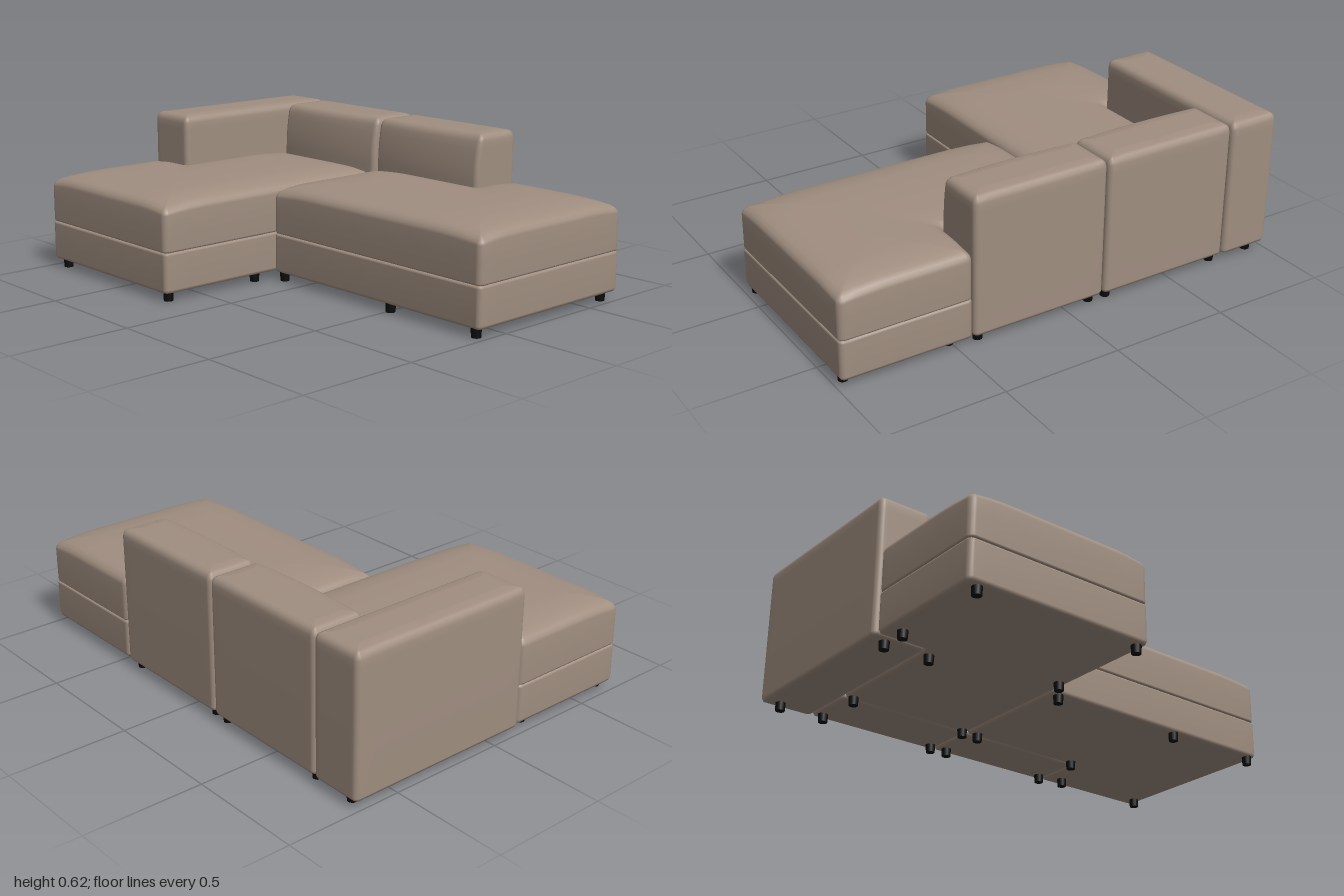
import * as THREE from 'three';

const fabric = new THREE.MeshStandardMaterial({ color: 0xa08e80 });
fabric.name = 'taupe upholstery';
const black = new THREE.MeshStandardMaterial({ color: 0x0c0c0c });
black.name = 'black feet';

// Right-angled outline [x, z], counterclockwise from above, inset by d with rounded corners
function ring(corners, d, radius) {
  const n = corners.length;
  const dir = (a, b) => new THREE.Vector2(b[0] - a[0], b[1] - a[1]).normalize();
  const arcs = corners.map((p, i) => {
    const a = dir(corners[(i + n - 1) % n], p);
    const b = dir(p, corners[(i + 1) % n]);
    const convex = a.y * b.x - a.x * b.y > 0;
    const r = convex ? Math.max(radius - d, 0.003) : radius;
    const x = p[0] + d * (a.y + b.y) + r * (b.x - a.x);
    const z = p[1] - d * (a.x + b.x) + r * (b.y - a.y);
    const pts = [];
    for (let k = 0; k <= 5; k++) {
      const t = (k / 5) * Math.PI / 2, s = Math.sin(t), c = Math.cos(t);
      pts.push(new THREE.Vector2(x + r * (a.x * s - b.x * c), z + r * (a.y * s - b.y * c)));
    }
    return pts;
  });
  // Subdivide the straight runs between corners
  return arcs.flatMap((arc, i) => {
    const next = arcs[(i + 1) % n][0], last = arc[arc.length - 1];
    const run = [];
    for (let k = 1; k < 12; k++) run.push(last.clone().lerp(next, k / 12));
    return [...arc, ...run];
  });
}

// Closed padded block: stacked rings [inset, height], bent by an optional rule
function pad(name, corners, profile, radius, bend) {
  const rings = profile.map(([d]) => ring(corners, d, radius));
  const m = rings[0].length, position = [], index = [];
  rings.forEach((pts, i) => pts.forEach((p) => {
    const v = new THREE.Vector3(p.x, profile[i][1], p.y);
    if (bend) bend(v);
    position.push(v.x, v.y, v.z);
  }));
  for (let i = 0; i < rings.length - 1; i++) {
    for (let j = 0; j < m; j++) {
      const a = i * m + j, b = i * m + (j + 1) % m;
      index.push(a, b, b + m, a, b + m, a + m);
    }
  }
  const cap = (pts) => THREE.ShapeUtils.triangulateShape(pts.map((p) => new THREE.Vector2(p.x, -p.y)), []);
  const top = (rings.length - 1) * m;
  cap(rings[0]).forEach(([a, b, c]) => index.push(a, c, b));
  cap(rings[rings.length - 1]).forEach(([a, b, c]) => index.push(top + a, top + b, top + c));
  const geometry = new THREE.BufferGeometry();
  geometry.setAttribute('position', new THREE.Float32BufferAttribute(position, 3));
  geometry.setIndex(index);
  geometry.computeVertexNormals();
  const mesh = new THREE.Mesh(geometry, fabric);
  mesh.name = name;
  return mesh;
}

const rect = (x0, x1, z0, z1) => [[x0, z1], [x1, z1], [x1, z0], [x0, z0]];

const baseProfile = [[0.02, 0.034], [0.006, 0.037], [0, 0.05], [0, 0.19], [0.003, 0.197], [0.012, 0.2]];
const cushionProfile = [
  [0.012, 0.2], [0.003, 0.203], [0, 0.21], [0, 0.3], [0, 0.375], [0.004, 0.39], [0.013, 0.402],
  [0.03, 0.41], [0.06, 0.414], [0.1, 0.417], [0.15, 0.419], [0.25, 0.42],
];
const blockProfile = [
  [0.02, 0.034], [0.006, 0.037], [0, 0.05], [0, 0.42], [0, 0.47], [0, 0.52], [0, 0.56], [0, 0.59],
  [0.004, 0.605], [0.012, 0.615], [0.025, 0.621], [0.06, 0.624],
];

// Seat unit: plinth plus cushion that falls away towards its outer edges
function seat(name, corners) {
  const group = new THREE.Group();
  group.name = name;
  const xs = corners.map((c) => c[0]), zs = corners.map((c) => c[1]);
  const x0 = Math.min(...xs), x1 = Math.max(...xs), z0 = Math.min(...zs), z1 = Math.max(...zs);
  const fall = (t, lo, hi) => {
    const u = Math.abs((2 * t - lo - hi) / (hi - lo));
    return 0.016 * Math.max(0, (u - 0.58) / 0.42) ** 2;
  };
  const crown = (v) => {
    if (v.y > 0.3) v.y -= (fall(v.x, x0, x1) + fall(v.z, z0, z1)) * Math.min(1, (v.y - 0.3) / 0.1);
  };
  group.add(pad(name + 'Base', corners, baseProfile, 0.022));
  group.add(pad(name + 'Cushion', corners, cushionProfile, 0.026, crown));
  return group;
}

// Backrest whose front bows forward and leans back towards the top
function backrest(name, x0, x1, z0, z1) {
  const mid = (z0 + z1) / 2;
  return pad(name, rect(x0, x1, z0, z1), blockProfile, 0.022, (v) => {
    const front = THREE.MathUtils.clamp((v.z - mid) / (z1 - mid), 0, 1);
    const u = (2 * v.x - x0 - x1) / (x1 - x0);
    const lean = 0.025 * (Math.max(0, v.y - 0.42) / 0.2) ** 2;
    v.z += front * (0.014 * (1 - u * u) - lean);
  });
}

export function createModel() {
  const sofa = new THREE.Group();
  sofa.name = 'sectionalSofa';

  // L-shaped seats wrap around the arm and the backrest
  sofa.add(seat('chaise', [
    [-0.99, 0.695], [-0.166, 0.695], [-0.166, -0.445], [-0.768, -0.445], [-0.768, 0.132], [-0.99, 0.132],
  ]));
  sofa.add(seat('sideSeat', [
    [-0.162, 0.14], [0.992, 0.14], [0.992, -0.685], [0.436, -0.685], [0.436, -0.45], [-0.162, -0.45],
  ]));

  // Arm and the two backrests reach down to the plinth level
  sofa.add(pad('arm', rect(-1, -0.77, -0.7, 0.13), blockProfile, 0.022));
  sofa.add(backrest('chaiseBackrest', -0.768, -0.166, -0.694, -0.445));
  sofa.add(backrest('sideBackrest', -0.162, 0.434, -0.69, -0.455));

  // Feet under each unit [x, z]
  const feet = [
    [-0.93, 0.66], [-0.2, 0.66], [-0.93, 0.215], [-0.2, 0.215], [-0.2, -0.42], [-0.735, -0.42],
    [-0.12, 0.115], [0.51, 0.115], [0.955, 0.115], [-0.12, -0.42], [0.395, -0.42],
    [0.51, -0.62], [0.955, -0.62], [-0.12, -0.645], [0.395, -0.645], [-0.2, -0.65], [-0.735, -0.65],
    [-0.93, -0.655], [-0.93, 0.095], [-0.735, 0.1],
  ];
  const footShape = new THREE.CylinderGeometry(0.021, 0.019, 0.038, 16);
  feet.forEach(([x, z]) => {
    const foot = new THREE.Mesh(footShape, black);
    foot.name = 'foot';
    foot.position.set(x, 0.019, z);
    sofa.add(foot);
  });
  return sofa;
}
